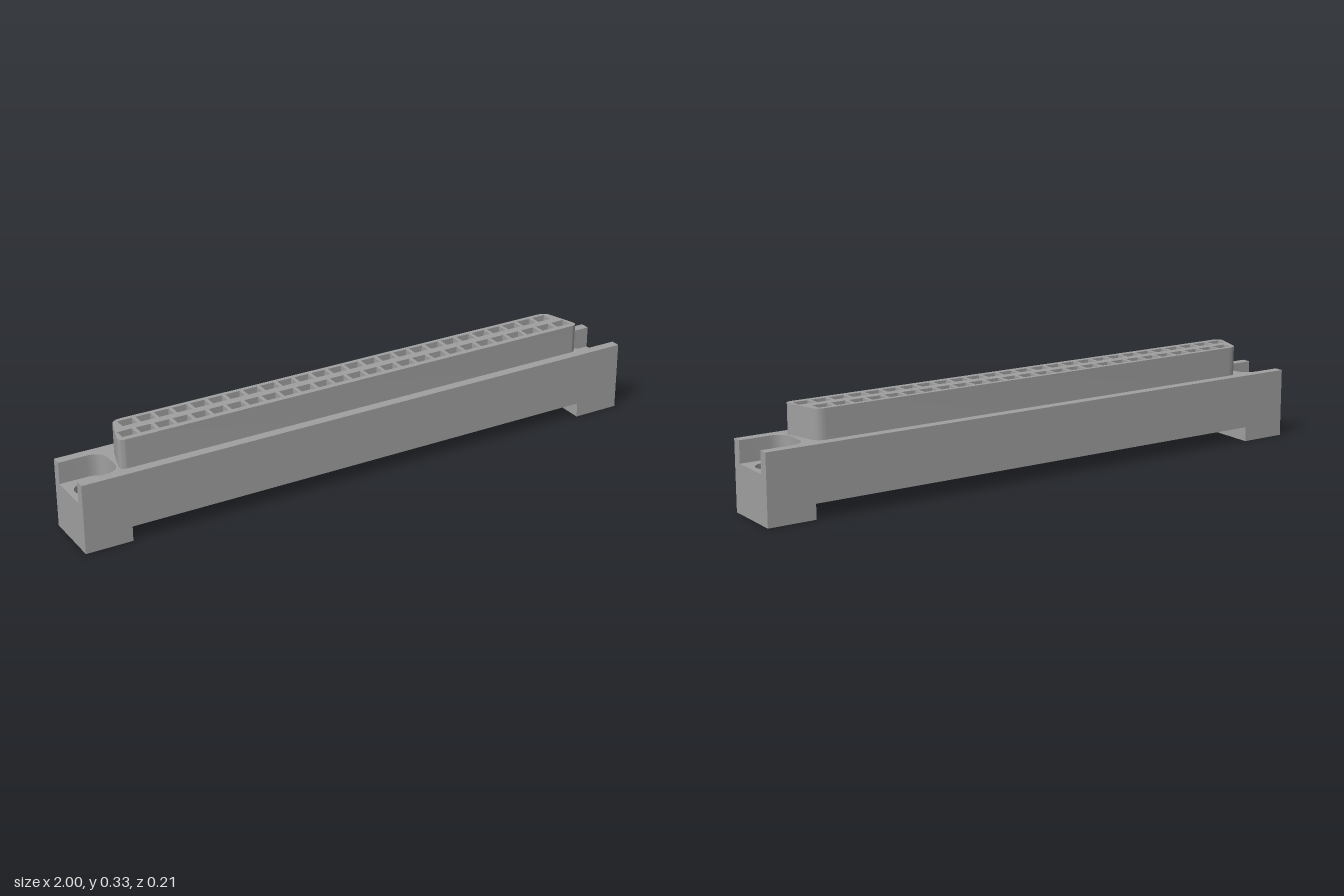
import * as THREE from 'three';
import { toCreasedNormals } from 'three/addons/utils/BufferGeometryUtils.js';

const HALF_DEPTH = 0.103;
const OFFSET = -0.005; // connector field sits slightly off centre
const PITCH = 0.062;

// Plan outlines use (x, -z); corners are [x, y, radius]
function outline(corners, Type = THREE.Shape) {
  const path = new Type();
  const n = corners.length;
  corners.forEach(([x, y, r = 0], i) => {
    const p = new THREE.Vector2(x, y);
    const toward = ([qx, qy]) => new THREE.Vector2(qx, qy).sub(p).setLength(r).add(p);
    const a = r ? toward(corners[(i + n - 1) % n]) : p;
    const b = r ? toward(corners[(i + 1) % n]) : p;
    if (i === 0) path.moveTo(a.x, a.y); else path.lineTo(a.x, a.y);
    if (r) path.quadraticCurveTo(x, y, b.x, b.y);
  });
  path.closePath();
  return path;
}

const rect = (x0, x1, y0, y1, Type) => outline([[x0, y0], [x1, y0], [x1, y1], [x0, y1]], Type);

function circle(x, y, r) {
  return new THREE.Path().absarc(x, y, r, 0, Math.PI * 2, true);
}

// Centres of the two staggered contact rows
const contacts = [];
for (const [count, y] of [[26, 0.036], [27, -0.031]]) {
  for (let i = 0; i < count; i++) contacts.push([OFFSET + (i - (count - 1) / 2) * PITCH, y]);
}
const cells = () => contacts.map(([x, y]) =>
  rect(x - 0.025, x + 0.025, y - 0.019, y + 0.019, THREE.Path));
const bores = () => contacts.map(([x, y]) => circle(x, y, 0.021));
const screwHoles = () => [-1, 1].map((s) => circle(s * 0.94, 0, 0.04));

export function createModel() {
  const group = new THREE.Group();
  const plastic = new THREE.MeshStandardMaterial({ color: 0xa0a0a0 });
  plastic.name = 'grey plastic';

  // Extrude a plan outline from y0 to y1
  function slab(name, shape, y0, y1, holes = []) {
    shape.holes.push(...holes);
    const extruded = new THREE.ExtrudeGeometry(shape, {
      depth: y1 - y0, bevelEnabled: false, curveSegments: 10,
    });
    extruded.rotateX(-Math.PI / 2).translate(0, y0, 0);
    const mesh = new THREE.Mesh(toCreasedNormals(extruded, 0.7), plastic);
    mesh.name = name;
    group.add(mesh);
  }

  const plan = () => rect(-1, 1, -HALF_DEPTH, HALF_DEPTH);

  // Mounting feet at both ends
  slab('leftFoot', rect(0.837, 1, -HALF_DEPTH, HALF_DEPTH), 0, 0.05, [circle(0.94, 0, 0.04)]);
  slab('rightFoot', rect(-1, -0.842, -HALF_DEPTH, HALF_DEPTH), 0, 0.05, [circle(-0.94, 0, 0.04)]);

  // Lower rim around the open cavity
  slab('lowerRim', plan(), 0.05, 0.1,
    [rect(-0.835, 0.825, -0.066, 0.066, THREE.Path), ...screwHoles()]);

  // Core with contact cells and screw holes
  slab('core', plan(), 0.1, 0.16, [...cells(), ...screwHoles()]);

  // Upper body, with a rounded pocket open at each end
  const inL = 0.847, inR = -0.855, h = HALF_DEPTH, p = 0.071, r = 0.055;
  slab('upperBody', outline([
    [-1, -h], [1, -h], [1, -p], [inL, -p, r], [inL, p, r], [1, p],
    [1, h], [-1, h], [-1, p], [inR, p, r], [inR, -p, r], [-1, -p],
  ]), 0.16, 0.233, bores());

  // Tapered plug, wider along the front
  slab('plug', outline([
    [OFFSET - 0.855, -0.07, 0.03], [OFFSET + 0.855, -0.07, 0.03],
    [OFFSET + 0.813, 0.07, 0.03], [OFFSET - 0.813, 0.07, 0.03],
  ]), 0.233, 0.331, cells());

  return group;
}
